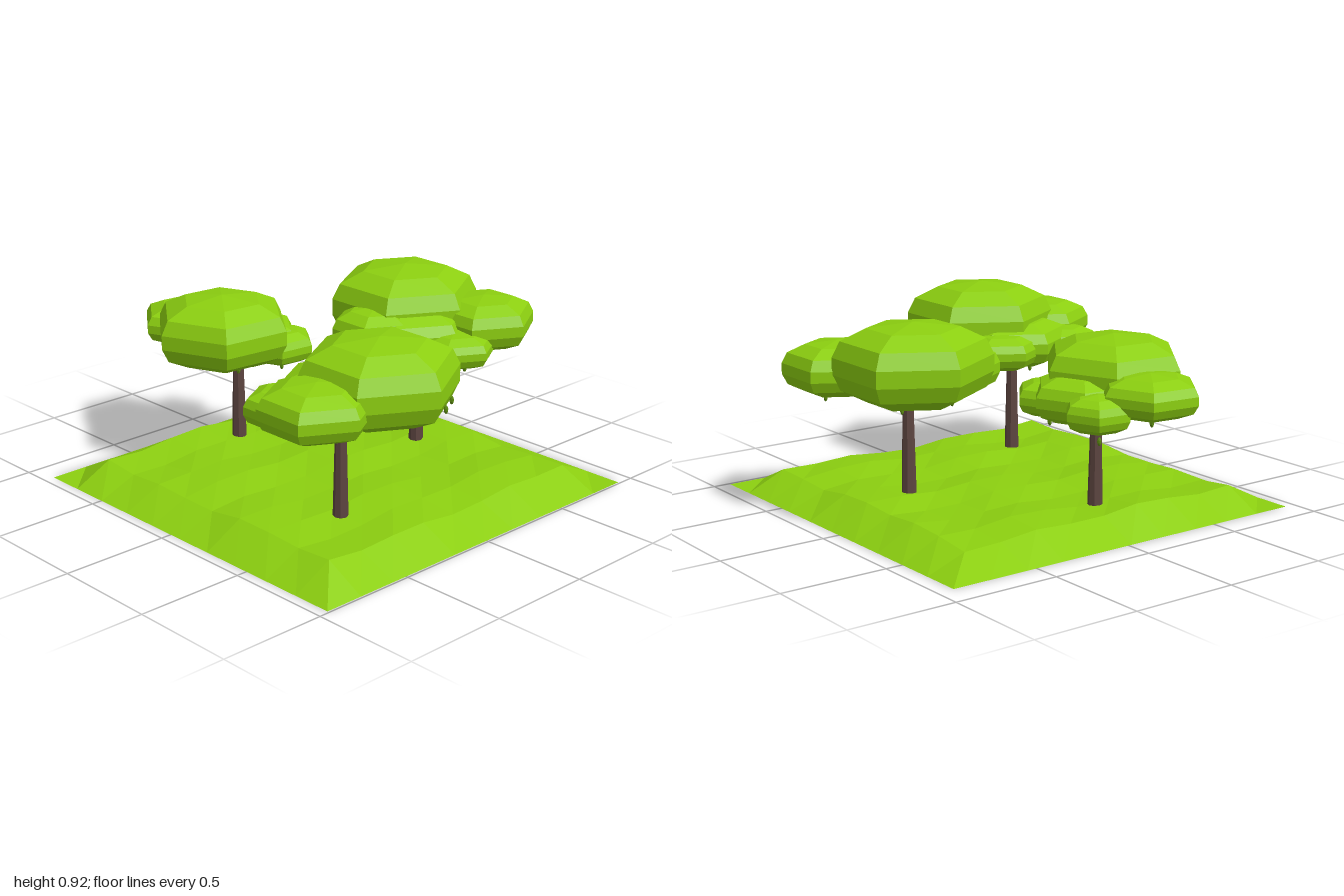
import * as THREE from 'three';

const leafMat = new THREE.MeshStandardMaterial({ color: 0x8ccf10, flatShading: true });
const grassMat = new THREE.MeshStandardMaterial({ color: 0x8ccf10, flatShading: true, side: THREE.DoubleSide });
const barkMat = new THREE.MeshStandardMaterial({ color: 0x5d4540, flatShading: true });
const fruitMat = new THREE.MeshStandardMaterial({ color: 0x5c8a10, flatShading: true });

// Unit six-sided leaf clump, scaled for every use
const clumpProfile = [[0, -1], [0.58, -0.87], [0.9, -0.58], [1, -0.2], [1, 0.2], [0.9, 0.58], [0.58, 0.87], [0, 1]]
  .map(([x, y]) => new THREE.Vector2(x, y));
const clumpGeo = new THREE.LatheGeometry(clumpProfile, 6);
const fruitGeo = new THREE.SphereGeometry(1, 6, 5);

// trunk: [x, z, top]; clumps: [x, y, z, radius, half height]; fruits: [x, y, z]
const trees = [
  {
    name: 'frontLeftTree', trunk: [-0.395, 0.49, 0.62], turn: 0,
    clumps: [
      [-0.30, 0.725, 0.625, 0.356, 0.19],
      [-0.65, 0.675, 0.61, 0.255, 0.12],
      [-0.61, 0.61, 0.38, 0.185, 0.09],
      [-0.375, 0.635, 0.455, 0.28, 0.12],
      [-0.22, 0.62, 0.345, 0.20, 0.09],
    ],
    fruits: [[-0.61, 0.49, 0.38], [-0.47, 0.49, 0.44], [-0.16, 0.62, 0.88], [-0.06, 0.62, 0.82], [-0.3, 0.49, 0.53]],
  },
  {
    name: 'rightTree', trunk: [0.475, 0.11, 0.64], turn: 0,
    clumps: [
      [0.55, 0.725, -0.05, 0.356, 0.19],
      [0.725, 0.675, 0.295, 0.25, 0.125],
      [0.28, 0.66, 0.02, 0.205, 0.115],
      [0.465, 0.645, 0.065, 0.30, 0.125],
      [0.50, 0.60, 0.33, 0.19, 0.085],
    ],
    fruits: [[0.31, 0.51, 0.0], [0.51, 0.51, 0.38], [0.57, 0.51, 0.345], [0.79, 0.545, 0.3], [0.6, 0.52, -0.03]],
  },
  {
    name: 'backTree', trunk: [-0.10, -0.52, 0.58], turn: 0.4,
    clumps: [
      [-0.24, 0.665, -0.465, 0.33, 0.17],
      [-0.18, 0.62, -0.785, 0.23, 0.1],
      [0.04, 0.555, -0.70, 0.155, 0.085],
      [-0.05, 0.575, -0.49, 0.24, 0.115],
      [0.015, 0.56, -0.355, 0.17, 0.085],
    ],
    fruits: [[-0.16, 0.45, -0.45], [0.03, 0.45, -0.355], [0.03, 0.43, -0.70], [-0.08, 0.45, -0.6], [-0.18, 0.5, -0.8]],
  },
];

function addMesh(parent, name, geo, mat, pos, scale = [1, 1, 1]) {
  const mesh = new THREE.Mesh(geo, mat);
  mesh.name = name;
  mesh.position.set(...pos);
  mesh.scale.set(...scale);
  parent.add(mesh);
  return mesh;
}

// Gently uneven lawn whose rim drops to zero
function groundGeometry() {
  const n = 10;
  const geo = new THREE.PlaneGeometry(1.87, 1.86, n, n).rotateX(-Math.PI / 2);
  const p = geo.attributes.position;
  for (let i = 0; i < p.count; i++) {
    const col = i % (n + 1), row = Math.floor(i / (n + 1));
    const rim = col === 0 || row === 0 || col === n || row === n;
    p.setY(i, rim ? 0 : 0.087 + 0.011 * Math.sin(col * 1.9 + row * 0.8) + 0.01 * Math.cos(row * 2.1 - col * 0.6));
  }
  geo.computeVertexNormals();
  return geo;
}

export function createModel() {
  const model = new THREE.Group();
  model.name = 'grove';
  addMesh(model, 'ground', groundGeometry(), grassMat, [-0.015, 0, 0.06]);

  for (const { name, trunk, turn, clumps, fruits } of trees) {
    const tree = new THREE.Group();
    tree.name = name;
    model.add(tree);

    // Tapered trunk, sunk slightly into the lawn
    const [x, z, top] = trunk, base = 0.07;
    const trunkGeo = new THREE.CylinderGeometry(0.022, 0.035, top - base, 8);
    addMesh(tree, 'trunk', trunkGeo, barkMat, [x, (top + base) / 2, z]);

    // Overlapping leaf clumps
    for (const [cx, cy, cz, r, h] of clumps) {
      addMesh(tree, 'leafClump', clumpGeo, leafMat, [cx, cy, cz], [r, h, r]).rotation.y = turn;
    }
    // Small hanging fruits
    for (const f of fruits) addMesh(tree, 'fruit', fruitGeo, fruitMat, f, [0.01, 0.02, 0.01]);
  }
  return model;
}
